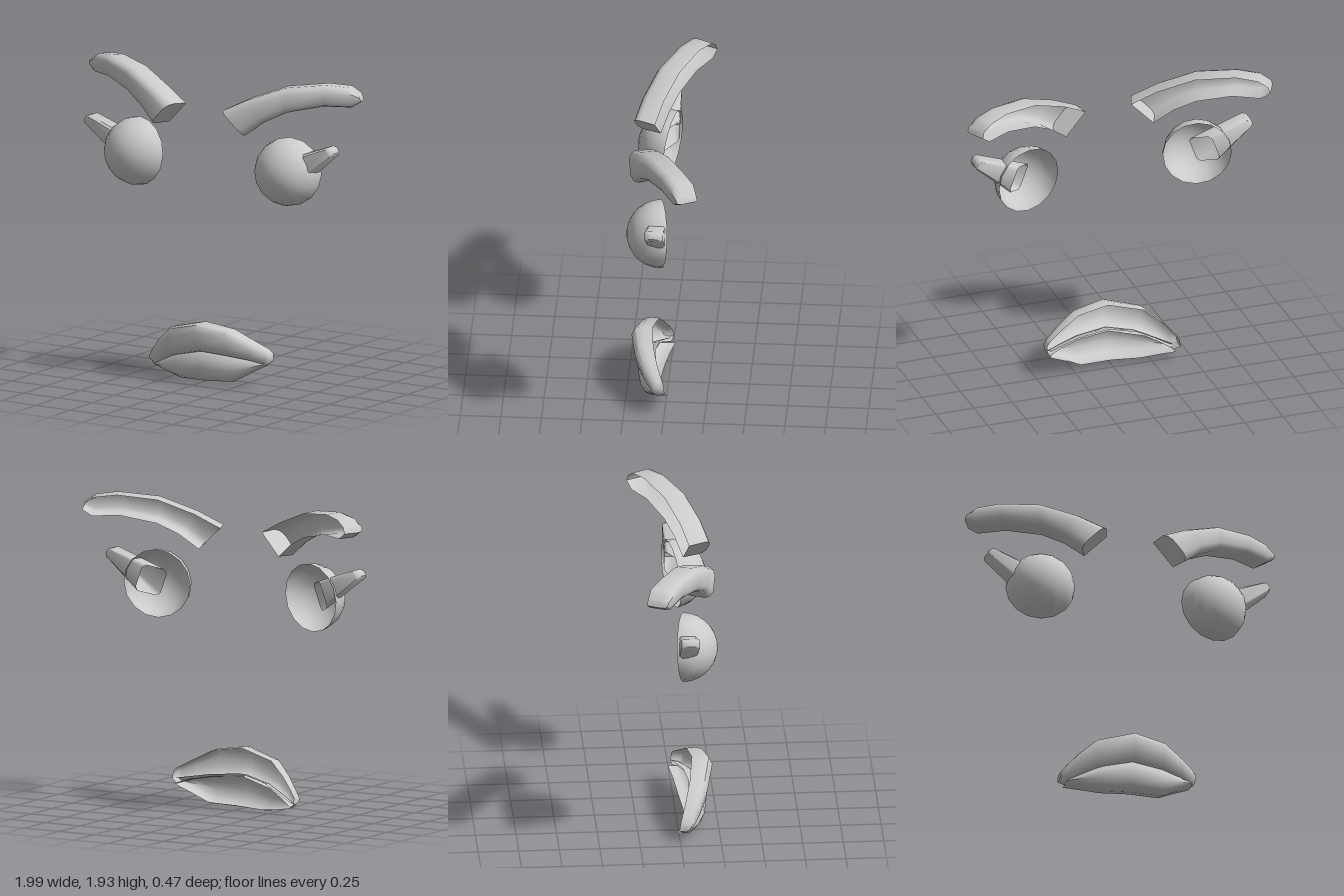
import * as THREE from 'three';
import { toCreasedNormals } from 'three/addons/utils/BufferGeometryUtils.js';

const material = new THREE.MeshStandardMaterial({ color: 0xcccccc, side: THREE.DoubleSide });

// Skin a row of cross-sections (each a list of [x, y, z]) running along +x.
function loft(name, sections, { closed = false, startCap = false, endCap = false } = {}) {
  const n = sections[0].length;
  const positions = sections.flat(2);
  const index = [];
  const edges = closed ? n : n - 1;
  for (let i = 0; i < sections.length - 1; i++) {
    for (let j = 0; j < edges; j++) {
      const a = i * n + j, b = i * n + (j + 1) % n;
      index.push(a, b, a + n, b, b + n, a + n);
    }
  }
  const cap = (row, flip) => {
    const centre = positions.length / 3;
    for (let k = 0; k < 3; k++) {
      positions.push(sections[row].reduce((sum, p) => sum + p[k], 0) / n);
    }
    for (let j = 0; j < n; j++) {
      const a = row * n + j, b = row * n + (j + 1) % n;
      index.push(centre, ...(flip ? [b, a] : [a, b]));
    }
  };
  if (startCap) cap(0, true);
  if (endCap) cap(sections.length - 1, false);
  const geometry = new THREE.BufferGeometry();
  geometry.setAttribute('position', new THREE.Float32BufferAttribute(positions, 3));
  geometry.setIndex(index);
  const mesh = new THREE.Mesh(toCreasedNormals(geometry, 0.9), material);
  mesh.name = name;
  return mesh;
}

// Eyebrow: a bent channel, open at the back, with closed ends
function makeEyebrow() {
  // front edge: top x, top y, bottom x, bottom y, top z, bottom z, back offset x, back offset z
  const stations = [
    [0.20, 1.745, 0.345, 1.60, 0.235, 0.205, -0.06, -0.14],
    [0.36, 1.825, 0.46, 1.69, 0.19, 0.16, -0.06, -0.14],
    [0.58, 1.91, 0.585, 1.755, 0.105, 0.105, -0.06, -0.14],
    [0.81, 1.935, 0.79, 1.80, -0.01, 0.0, -0.06, -0.13],
    [0.93, 1.92, 0.945, 1.797, -0.075, -0.08, -0.06, -0.135],
    [0.985, 1.875, 0.998, 1.835, -0.11, -0.12, -0.06, -0.12],
  ];
  const sections = stations.map(([tx, ty, bx, by, tz, bz, ox, oz]) => {
    // t runs from top to bottom, d from the front edge to the back rim
    const at = (t, d) => [
      THREE.MathUtils.lerp(tx, bx, t) + ox * d,
      THREE.MathUtils.lerp(ty, by, t),
      THREE.MathUtils.lerp(tz, bz, t) + oz * d,
    ];
    return [at(0.06, 1), at(0, 0.3), at(0.08, 0.1), at(0.25, 0), at(0.75, 0), at(0.92, 0.1), at(1, 0.3), at(1, 1)];
  });
  return loft('eyebrow', sections, { startCap: true, endCap: true });
}

// Eyeball: an open half sphere turned slightly outwards
function makeEyeball() {
  const geometry = new THREE.SphereGeometry(0.214, 16, 7, 0, Math.PI * 2, 0, Math.PI / 2);
  geometry.rotateX(Math.PI / 2);
  const eye = new THREE.Mesh(geometry, material);
  eye.name = 'eyeball';
  eye.position.set(0.55, 1.373, 0.008);
  eye.rotation.set(-0.07, 0.22, 0);
  return eye;
}

// Eyelash: a tapering bar that starts inside the eyeball, open at its inner end
function makeEyelash() {
  // top x, top y, bottom x, bottom y, front z, back z, oblique shift of the front corners
  const stations = [
    [0.63, 1.49, 0.69, 1.325, 0.09, -0.025, 0.11],
    [0.865, 1.57, 0.90, 1.515, 0.09, -0.025, 0],
    [0.89, 1.565, 0.908, 1.535, 0.075, -0.01, 0],
  ];
  const sections = stations.map(([tx, ty, bx, by, zf, zb, skew]) => {
    const at = (t, d) => [
      THREE.MathUtils.lerp(tx, bx, t) - skew * (1 - d),
      THREE.MathUtils.lerp(ty, by, t) - skew * 0.4 * (1 - d),
      THREE.MathUtils.lerp(zf, zb, d),
    ];
    return [at(0, 0.88), at(0, 0.12), at(0.12, 0), at(0.88, 0),
      at(1, 0.12), at(1, 0.88), at(0.88, 1), at(0.12, 1)];
  });
  return loft('eyelash', sections, { closed: true, endCap: true });
}

// Lips follow a curve that sweeps back towards the mouth corners
const sweep = (x) => -0.13 * (x / 0.43) ** 2;

// stations: x, top y, bottom y; profile: [height 0 top..1 bottom, z, extra y]
function makeLip(name, stations, profile, caps) {
  const sections = stations.map(([x, top, bottom]) => {
    const fade = 1 - 0.45 * (Math.abs(x) / 0.43) ** 2;
    return profile.map(([t, z, lift]) => [
      x,
      THREE.MathUtils.lerp(top, bottom, t) + lift * fade,
      0.1 + (z - 0.1) * fade + sweep(x) * 0.75,
    ]);
  });
  return loft(name, sections, caps);
}

function makeMouth() {
  const mouth = new THREE.Group();
  mouth.name = 'mouth';
  const upper = [
    [-0.435, 0.12, 0.075], [-0.40, 0.165, 0.05], [-0.33, 0.24, 0.09], [-0.23, 0.325, 0.14],
    [0, 0.385, 0.20], [0.2, 0.355, 0.185], [0.33, 0.285, 0.165], [0.41, 0.24, 0.14], [0.432, 0.215, 0.165],
  ];
  mouth.add(makeLip('upperLip', upper, [
    [0.02, 0.10, 0], [0, 0.16, 0], [0.05, 0.205, 0], [0.3, 0.228, 0],
    [0.75, 0.21, 0], [0.95, 0.18, 0], [1, 0.15, 0], [0.95, 0.09, 0],
  ], { startCap: true, endCap: true }));
  const lower = [
    [-0.40, 0.075, 0.048], [-0.3, 0.115, 0.027], [-0.18, 0.165, 0.005],
    [0, 0.205, 0.012], [0.2, 0.19, 0.022], [0.32, 0.175, 0.09], [0.41, 0.165, 0.14],
  ];
  mouth.add(makeLip('lowerLip', lower, [
    [0, 0.08, 0.02], [0, 0.15, 0.005], [0.25, 0.182, 0], [0.55, 0.19, 0],
    [0.85, 0.165, 0], [1, 0.12, 0], [0.9, 0.045, 0],
  ]));
  return mouth;
}

export function createModel() {
  const model = new THREE.Group();
  model.name = 'face';
  for (const [side, sign] of [['left', 1], ['right', -1]]) {
    const half = new THREE.Group();
    half.name = `${side}Eye`;
    half.add(makeEyebrow(), makeEyeball(), makeEyelash());
    half.scale.x = sign;
    model.add(half);
  }
  model.add(makeMouth());
  return model;
}
